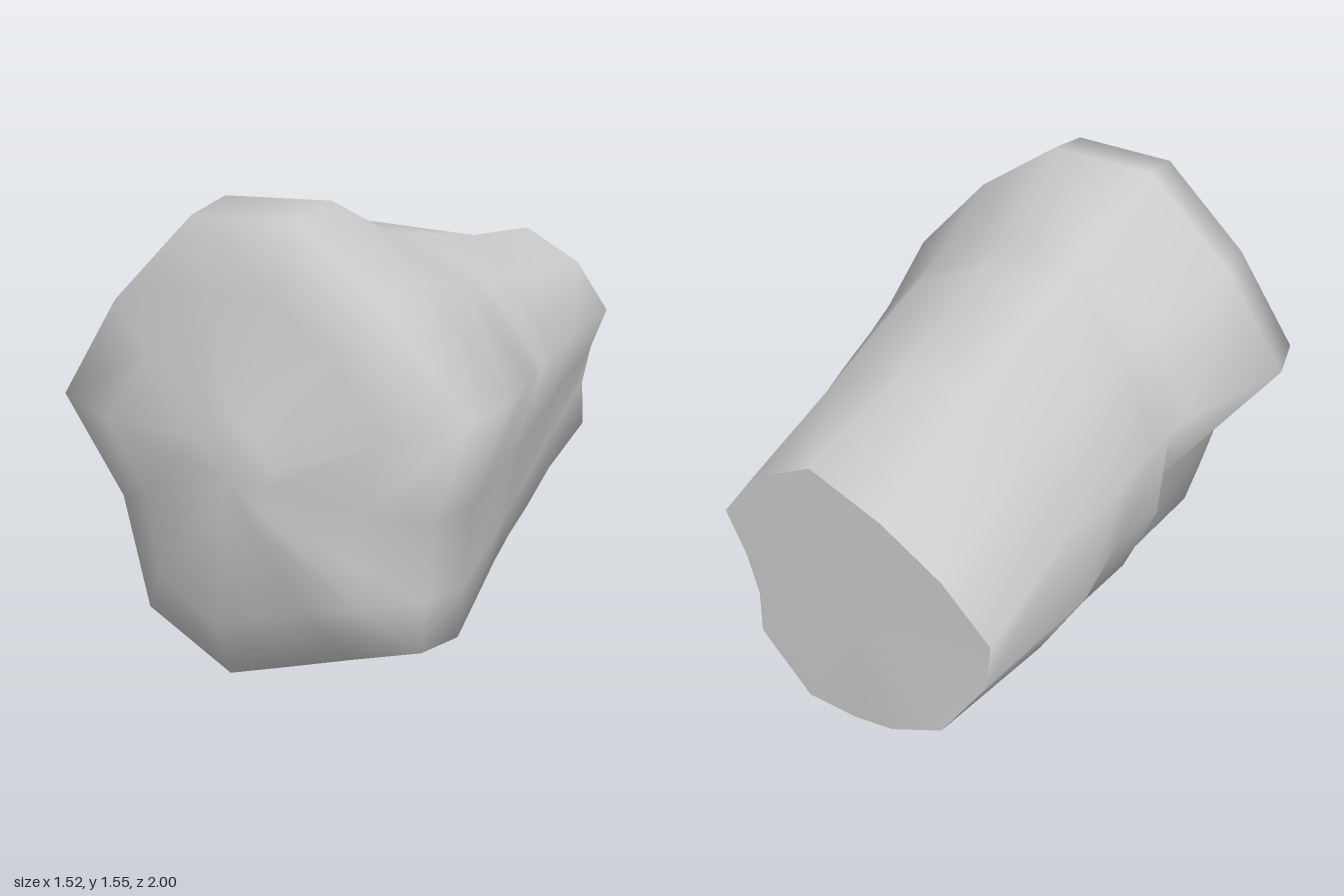
import * as THREE from 'three';

// Cross-sections as [x, y], starting at the top and going round toward -x.
const BACK = [[0.11, 1.23], [-0.13, 1.12], [-0.33, 0.98], [-0.49, 0.8], [-0.47, 0.62], [-0.32, 0.37], [-0.13, 0.27],
  [0.03, 0.22], [0.21, 0.23], [0.38, 0.45], [0.37, 0.62], [0.4, 0.77], [0.46, 0.93], [0.33, 1.11]];
const NECK = [[0.1, 1.27], [-0.15, 1.28], [-0.35, 1.11], [-0.49, 0.86], [-0.56, 0.63], [-0.4, 0.33], [-0.1, 0.2],
  [0.04, 0.18], [0.25, 0.19], [0.43, 0.41], [0.43, 0.54], [0.46, 0.73], [0.51, 0.94], [0.37, 1.15]];
const WAIST = [[0.15, 1.39], [-0.16, 1.43], [-0.41, 1.2], [-0.59, 0.9], [-0.48, 0.58], [-0.4, 0.2], [-0.1, 0.02],
  [0.05, 0.02], [0.28, 0.09], [0.54, 0.33], [0.56, 0.46], [0.6, 0.7], [0.65, 0.97], [0.42, 1.25]];
const RIM = [[0.18, 1.55], [-0.2, 1.54], [-0.52, 1.24], [-0.76, 0.89], [-0.53, 0.56], [-0.44, 0.17], [-0.11, 0],
  [0.12, 0.08], [0.36, 0.165], [0.61, 0.25], [0.625, 0.42], [0.65, 0.68], [0.76, 1.01], [0.48, 1.33]];
const N = RIM.length;
const CENTRE = [0.02, 0.78];

const blend = (a, b, t) => a.map(([x, y], i) => [x + (b[i][0] - x) * t, y + (b[i][1] - y) * t]);
const shrink = (ring, s) => ring.map(([x, y]) => [CENTRE[0] + (x - CENTRE[0]) * s, CENTRE[1] + (y - CENTRE[1]) * s]);
const atZ = (ring, z, tilt = 0) => ring.map(([x, y]) => [x, y, z - tilt * (y - CENTRE[1])]);

function makeMesh(name, points, faces) {
  const geometry = new THREE.BufferGeometry();
  geometry.setAttribute('position', new THREE.Float32BufferAttribute(points.flat(), 3));
  geometry.setIndex(faces.flat());
  geometry.computeVertexNormals();
  const mesh = new THREE.Mesh(geometry, new THREE.MeshStandardMaterial({ color: 0xcccccc }));
  mesh.name = name;
  return mesh;
}

// Skin through all the rings, closed at the front by a rounded end
function makeBody(rings, apex) {
  const faces = [];
  for (let r = 0; r < rings.length - 1; r++) {
    for (let i = 0; i < N; i++) {
      const j = (i + 1) % N, a = r * N + i, b = r * N + j;
      faces.push([a, b, a + N], [b, b + N, a + N]);
    }
  }
  const last = (rings.length - 1) * N;
  for (let i = 0; i < N; i++) faces.push([last + i, last + (i + 1) % N, rings.length * N]);
  return makeMesh('body', [...rings.flat(), apex], faces);
}

// Nearly flat face that closes the narrow end
function makeBackFace(ring) {
  const faces = ring.map((p, i) => [(i + 1) % N, i, N]);
  return makeMesh('backFace', [...ring, [0, 0.75, -0.985]], faces);
}

export function createModel() {
  const group = new THREE.Group();
  group.name = 'lump';

  // Narrow end, with its lower edge pushed out a little
  const back = atZ(BACK, -0.98);
  back[5][2] = back[6][2] = -1;

  // Ridge on the -x flank that ends in a sudden step
  const ridge = blend(NECK, WAIST, 0.76);
  ridge[3] = [-0.54, 0.87];
  ridge[4] = [-0.555, 0.57];
  ridge[5] = [-0.44, 0.27];
  const step = blend(NECK, WAIST, 0.84);
  step[3] = [-0.555, 0.88];
  step[4] = [-0.48, 0.59];
  step[5] = [-0.39, 0.23];

  // Inner ring of the front, with a small bump above the lower +x corner
  const brow = atZ(shrink(RIM, 0.66), 0.92, 0.08);
  brow[9] = [0.44, 0.42, 0.95];

  const rings = [
    back,
    atZ(NECK, -0.5),
    atZ(blend(NECK, WAIST, 0.45), -0.18),
    atZ(ridge, 0.07),
    atZ(step, 0.12),
    atZ(WAIST, 0.23),
    atZ(RIM, 0.65),
    atZ(shrink(RIM, 0.955), 0.84),
    brow,
    atZ(shrink(RIM, 0.22), 0.995),
  ];

  group.add(makeBody(rings, [0.02, 0.78, 1]), makeBackFace(back));
  return group;
}
